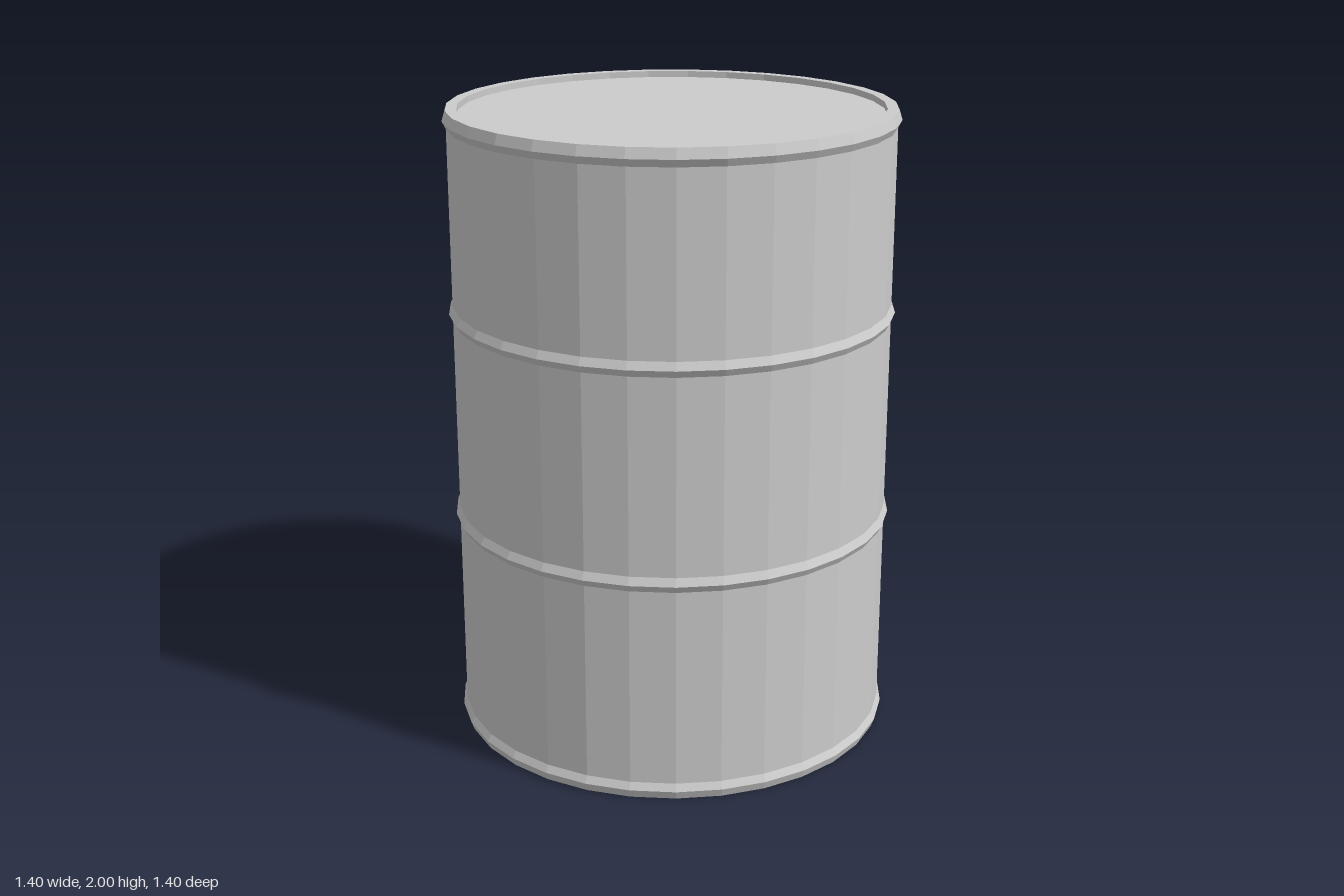
import * as THREE from 'three';

const SIDES = 31;
const BODY_R = 0.688, RING_R = 0.7, RIM_R = 0.69, LID_R = 0.655, LID_Y = 1.98;

export function createModel() {
  const drum = new THREE.Group();
  drum.name = 'drum';
  const material = new THREE.MeshStandardMaterial({ color: 0xcccccc, flatShading: true });

  // Turned part with one corner pointing to the back
  const turned = (name, points) => {
    const profile = points.map(([r, y]) => new THREE.Vector2(r, y));
    const mesh = new THREE.Mesh(new THREE.LatheGeometry(profile, SIDES, Math.PI), material);
    mesh.name = name;
    mesh.position.z = 0.002;
    drum.add(mesh);
  };

  // Ridge that swells out of the wall and back
  const ridge = (y) => [[BODY_R, y - 0.022], [RING_R, y], [BODY_R, y + 0.025]];

  // Wall with bottom bead, two rolling hoops and top bead
  turned('wall', [
    [RIM_R, 0], [RING_R, 0.027], [BODY_R, 0.05],
    ...ridge(0.705),
    ...ridge(1.367),
    [BODY_R, 1.945], [RING_R, 1.968], [RIM_R, 2],
  ]);

  // Flat rim and its short inner wall
  turned('rim', [[RIM_R, 2], [LID_R, 2], [LID_R, LID_Y]]);

  // Sunken lid and flat base
  turned('lid', [[LID_R, LID_Y], [0, LID_Y]]);
  turned('base', [[0, 0], [RIM_R, 0]]);

  return drum;
}
